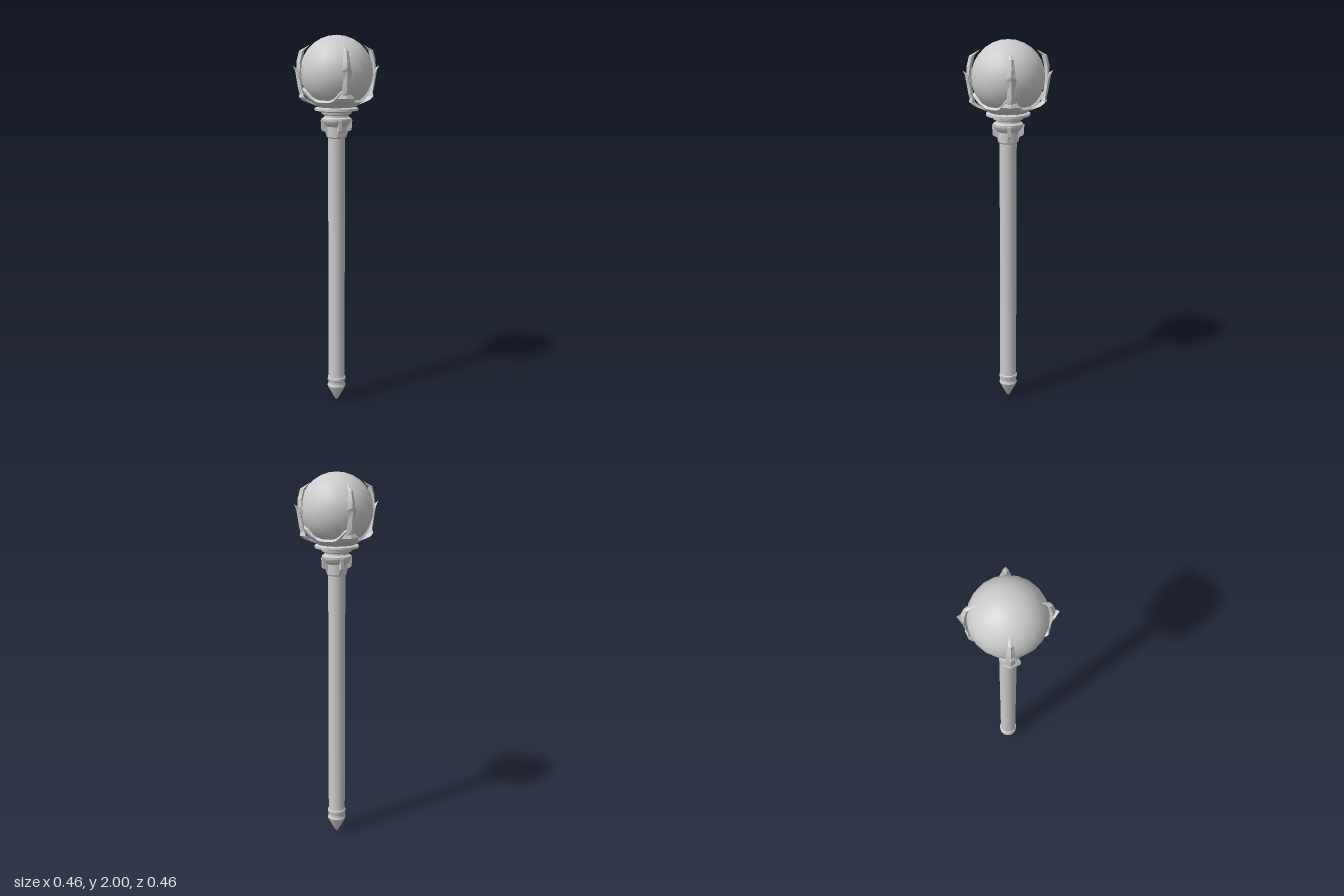
import * as THREE from 'three';
import { toCreasedNormals } from 'three/addons/utils/BufferGeometryUtils.js';

const ORB_Y = 1.81, ORB_R = 0.19;

export function createModel() {
  const model = new THREE.Group();
  model.name = 'sceptre';
  const stone = new THREE.MeshStandardMaterial({ color: 0xcccccc });
  stone.name = 'grey stone';

  const add = (name, geometry, parent = model) => {
    const mesh = new THREE.Mesh(geometry, stone);
    mesh.name = name;
    parent.add(mesh);
    return mesh;
  };
  const turned = (points, sides) => toCreasedNormals(
    new THREE.LatheGeometry(points.map(([r, y]) => new THREE.Vector2(r, y)), sides), 0.6);
  const faceted = (geometry) => {
    const flat = geometry.toNonIndexed();
    flat.computeVertexNormals();
    return flat;
  };

  // Orb
  add('orb', new THREE.SphereGeometry(ORB_R, 20, 14)).position.y = ORB_Y;

  // Shaft, with pointed foot and band
  add('shaft', turned([[0.045, 0.1], [0.045, 1.52]], 16));
  add('foot', turned([[0, 0], [0.012, 0.015], [0.047, 0.08], [0.051, 0.09], [0.046, 0.1],
    [0.046, 0.115], [0.051, 0.125], [0.05, 0.138], [0.044, 0.142]], 12));

  // Stepped collar beneath the cup
  add('collar', turned([[0.044, 1.468], [0.052, 1.475], [0.054, 1.53], [0.066, 1.54],
    [0.078, 1.56], [0.078, 1.572], [0.064, 1.58], [0.064, 1.59], [0.078, 1.596],
    [0.08, 1.606], [0.09, 1.612], [0.115, 1.614], [0.115, 1.626], [0.095, 1.632],
    [0.09, 1.645], [0, 1.645]], 20));

  // Scalloped cup: the rim rises to each claw and dips between them
  const rows = 6;
  const cup = new THREE.LatheGeometry(
    Array.from({ length: rows + 2 }, (_, i) => new THREE.Vector2(1, i)), 48);
  const p = cup.attributes.position;
  for (let i = 0; i < p.count; i++) {
    const turn = Math.atan2(p.getX(i), p.getZ(i));
    const row = Math.round(p.getY(i));
    const rise = ((1 + Math.cos(4 * turn)) / 2) ** 3;
    const tilt = THREE.MathUtils.lerp(0.45, 0.74 + 0.42 * rise, Math.min(row / rows, 1));
    const radius = row > rows ? ORB_R - 0.006 : 0.203;
    const r = radius * Math.sin(tilt);
    p.setXYZ(i, r * Math.sin(turn), ORB_Y - radius * Math.cos(tilt), r * Math.cos(turn));
  }
  add('cup', faceted(cup));

  // Diamond-section loft facing +z; each row is [distance out, height, half width, half depth]
  const loft = (sections) => {
    const n = sections.length - 1;
    const g = new THREE.CylinderGeometry(1, 1, n, 4, n, true);
    const v = g.attributes.position;
    for (let i = 0; i < v.count; i++) {
      const [out, y, w, d] = sections[Math.round(v.getY(i) + n / 2)];
      v.setXYZ(i, v.getX(i) * w, y, out + v.getZ(i) * d);
    }
    return faceted(g);
  };
  const knuckle = loft([[0.09, 1.632, 0.02, 0.005], [0.165, 1.667, 0.05, 0.016],
    [0.186, 1.685, 0.046, 0.016], [0.186, 1.705, 0.03, 0.01], [0.18, 1.712, 0, 0]]);
  const finger = loft([[0.18, 1.68, 0.032, 0.012], [0.192, 1.73, 0.022, 0.013],
    [0.2, 1.78, 0.018, 0.013], [0.207, 1.82, 0.027, 0.013], [0.232, 1.845, 0, 0]]);
  const talon = loft([[0.195, 1.79, 0.018, 0.012], [0.2, 1.83, 0.023, 0.013],
    [0.197, 1.87, 0.019, 0.014], [0.184, 1.92, 0.013, 0.014], [0.142, 1.95, 0, 0]]);

  // Collar fin: a thin upright bracket
  const outline = new THREE.Shape([[0.035, 1.475], [0.052, 1.475], [0.058, 1.5], [0.08, 1.51],
    [0.084, 1.565], [0.035, 1.575]].map(([x, y]) => new THREE.Vector2(x, y)));
  const fin = new THREE.ExtrudeGeometry(outline, { depth: 0.016, bevelEnabled: false });
  fin.translate(0, 0, -0.008).rotateY(-Math.PI / 2);

  // Four claws and fins around the axis
  for (let k = 0; k < 4; k++) {
    const claw = new THREE.Group();
    claw.name = 'claw';
    claw.rotation.y = k * Math.PI / 2;
    add('knuckle', knuckle, claw);
    add('finger', finger, claw);
    add('talon', talon, claw);
    add('collarFin', fin, claw);
    model.add(claw);
  }
  return model;
}
